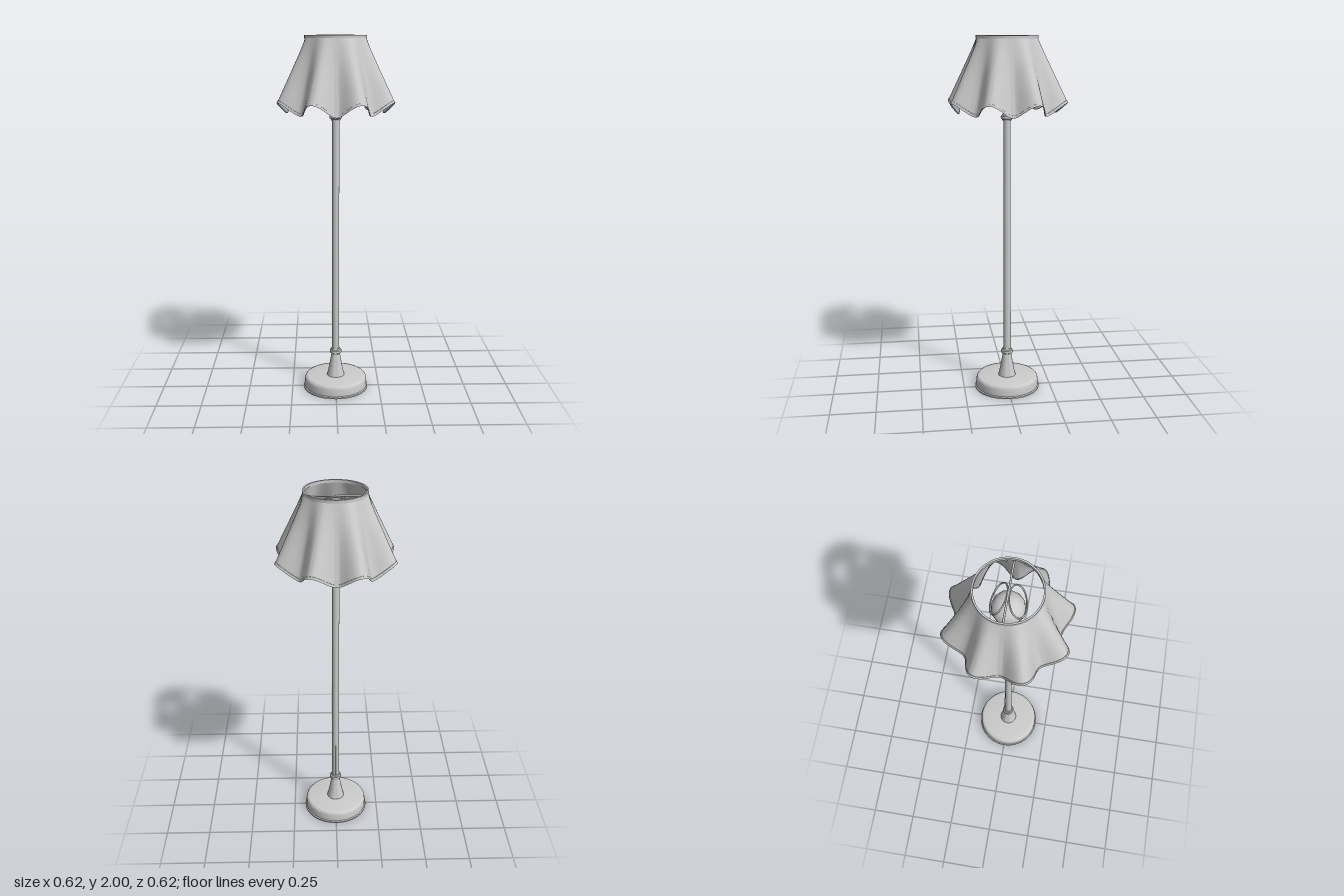
import * as THREE from 'three';
import { toCreasedNormals } from 'three/addons/utils/BufferGeometryUtils.js';

const material = new THREE.MeshStandardMaterial({ color: 0xcccccc });

function part(name, geometry, x = 0, y = 0, z = 0) {
  const mesh = new THREE.Mesh(geometry, material);
  mesh.name = name;
  mesh.position.set(x, y, z);
  return mesh;
}

// Turned part from [radius, height] pairs, listed from the bottom up
function turned(name, profile, segments = 32) {
  const points = profile.map(([r, y]) => new THREE.Vector2(r, y));
  return part(name, toCreasedNormals(new THREE.LatheGeometry(points, segments), 0.7));
}

// Point on the eight-lobed shade; t runs from the hem (0) to the top (1)
function shadePoint(t, angle, offset) {
  const wave = -Math.cos(8 * angle);
  const radius = THREE.MathUtils.lerp(0.297 + 0.034 * wave, 0.162, t) + offset;
  const y = THREE.MathUtils.lerp(1.623 + 0.033 * wave, 1.99, t);
  return [radius * Math.sin(angle), y, radius * Math.cos(angle)];
}

// Closed fluted band following a loop of [t, offset] pairs
function flutedBand(name, loop, segments = 192) {
  const positions = [];
  const indices = [];
  const row = segments + 1;
  const closed = [...loop, loop[0]];
  closed.forEach(([t, offset], i) => {
    for (let j = 0; j <= segments; j++) {
      positions.push(...shadePoint(t, (j / segments) * Math.PI * 2, offset));
      if (i < closed.length - 1 && j < segments) {
        const a = i * row + j;
        indices.push(a, a + 1, a + row + 1, a, a + row + 1, a + row);
      }
    }
  });
  const geometry = new THREE.BufferGeometry();
  geometry.setAttribute('position', new THREE.Float32BufferAttribute(positions, 3));
  geometry.setIndex(indices);
  return part(name, toCreasedNormals(geometry, 0.7));
}

export function createModel() {
  const model = new THREE.Group();
  model.name = 'floorLamp';

  // Hollow weighted foot with a thin flange
  model.add(turned('base', [
    [0, 0.05], [0.168, 0.05], [0.174, 0], [0.185, 0], [0.185, 0.008], [0.179, 0.012],
    [0.178, 0.05], [0.175, 0.062], [0.169, 0.069], [0.16, 0.071], [0, 0.071],
  ], 48));
  model.add(part('baseNut', new THREE.CylinderGeometry(0.055, 0.055, 0.01, 32), 0, 0.046, 0));

  // Stem with flared ends
  model.add(turned('lowerFlare', [
    [0.05, 0.07], [0.043, 0.1], [0.035, 0.14], [0.028, 0.18], [0.024, 0.205],
  ]));
  model.add(part('pole', new THREE.CylinderGeometry(0.02, 0.02, 1.38, 24), 0, 0.89, 0));
  model.add(turned('upperFlare', [
    [0.02, 1.57], [0.024, 1.6], [0.03, 1.65], [0.037, 1.69], [0.046, 1.73], [0.046, 1.745], [0, 1.745],
  ]));

  // Ringed collars at both ends of the pole
  const collar = [
    [0.02, -0.018], [0.025, -0.018], [0.027, -0.011], [0.033, -0.007], [0.034, 0],
    [0.033, 0.007], [0.027, 0.011], [0.025, 0.018], [0.02, 0.018],
  ];
  for (const [name, y] of [['lowerCollar', 0.217], ['upperCollar', 1.568]]) {
    const mesh = turned(name, collar);
    mesh.position.y = y;
    model.add(mesh);
  }

  // Slim strip on the back of the pole
  model.add(part('cord', new THREE.CylinderGeometry(0.005, 0.005, 0.23, 8), 0, 0.335, -0.019));

  // Bulb
  model.add(turned('bulb', [
    [0.03, 1.73], [0.048, 1.748], [0.068, 1.768], [0.08, 1.79], [0.083, 1.81],
    [0.08, 1.835], [0.068, 1.862], [0.048, 1.88], [0.025, 1.89], [0, 1.893],
  ], 12));

  // Two sloping wire rings clip the bulb to the crossbar
  for (const side of [1, -1]) {
    const ring = part('bulbClip', new THREE.TorusGeometry(0.077, 0.004, 8, 40), 0, 1.897, side * 0.045);
    ring.rotation.x = -side * 0.548;
    model.add(ring);
  }
  const bar = part('crossbar', new THREE.CylinderGeometry(0.005, 0.005, 0.33, 10), 0, 1.967, 0);
  bar.rotation.z = Math.PI / 2;
  model.add(bar);

  // Fluted shade with hem and top binding
  const shade = new THREE.Group();
  shade.name = 'shade';
  shade.add(flutedBand('shadeWall', [
    [0, 0], [0.25, 0], [0.5, 0], [0.75, 0], [1, 0],
    [1, -0.004], [0.75, -0.004], [0.5, -0.004], [0.25, -0.004], [0, -0.004],
  ]));
  shade.add(flutedBand('shadeHem', [[-0.005, 0.002], [0.03, 0.002], [0.03, -0.006], [-0.005, -0.006]]));
  shade.add(turned('topBinding', [
    [0.157, 1.984], [0.166, 1.984], [0.166, 2], [0.157, 2], [0.157, 1.984],
  ], 48));
  model.add(shade);

  return model;
}
